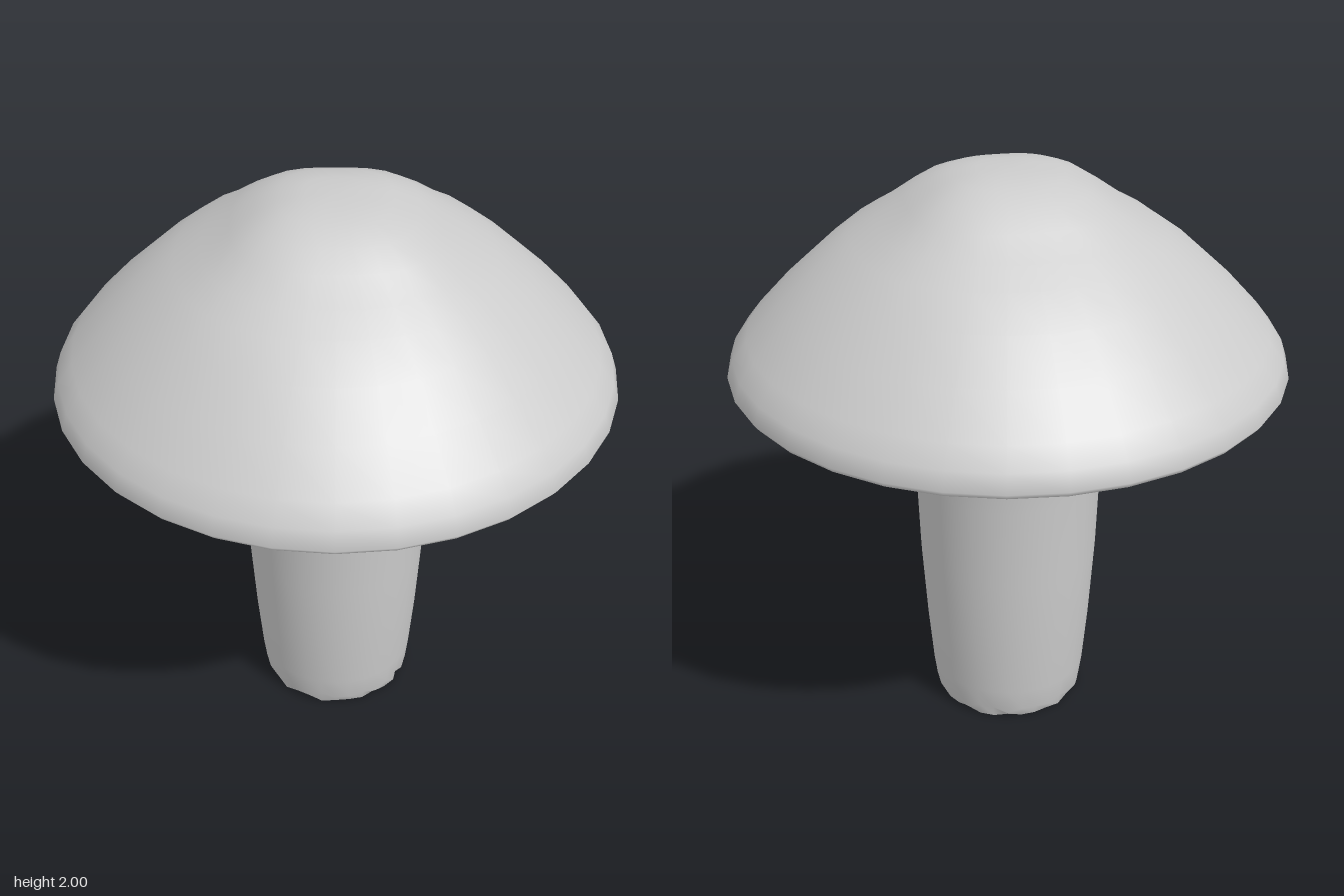
import * as THREE from 'three';
import { mergeVertices } from 'three/addons/utils/BufferGeometryUtils.js';

const SIDES = 32;
const material = new THREE.MeshStandardMaterial({ color: 0xcccccc, side: THREE.DoubleSide });

// Turned shape with seamless smooth normals; shape(v, angle) may adjust each vertex.
function turned(name, profile, shape) {
  const raw = new THREE.LatheGeometry(profile.map(([r, y]) => new THREE.Vector2(r, y)), SIDES);
  raw.deleteAttribute('normal');
  raw.deleteAttribute('uv');
  const pos = raw.attributes.position;
  const v = new THREE.Vector3();
  for (let i = 0; shape && i < pos.count; i++) {
    v.fromBufferAttribute(pos, i);
    shape(v, Math.atan2(v.x, v.z));
    pos.setXYZ(i, v.x, v.y, v.z);
  }
  const geometry = mergeVertices(raw, 1e-4);
  geometry.computeVertexNormals();
  const mesh = new THREE.Mesh(geometry, material);
  mesh.name = name;
  return mesh;
}

// Four faint lobes on the upper cap, strongest near the crown.
function lobes(v, angle) {
  const weight = THREE.MathUtils.smoothstep(v.y, 1.65, 1.95);
  const k = 1 - 0.05 * weight * (1 - Math.cos(4 * angle));
  v.x *= k;
  v.z *= k;
}

// Uneven broken edge around the foot.
function ragged(v, angle) {
  if (v.y > 0.06) return;
  const wave = Math.sin(11 * angle) + 0.5 * Math.sin(7 * angle + 1);
  if (v.y > 0.01) {
    v.y += 0.011 * wave;
  } else {
    const k = 1 + 0.025 * wave;
    v.x *= k;
    v.z *= k;
  }
}

export function createModel() {
  const model = new THREE.Group();
  model.name = 'mushroom';

  const foot = [0.255, 0];

  model.add(turned('cap', [
    [0.925, 1.32], [0.94, 1.34], [0.92, 1.4], [0.87, 1.465], [0.76, 1.585],
    [0.64, 1.7], [0.54, 1.785], [0.46, 1.835], [0.37, 1.9], [0.29, 1.95],
    [0.2, 1.985], [0.11, 1.998], [0, 2],
  ], lobes));

  // Hollow underside, from the stem flare out to the rim
  model.add(turned('capUnderside', [
    [0.51, 1.55], [0.56, 1.57], [0.62, 1.555], [0.72, 1.5], [0.83, 1.42], [0.89, 1.35], [0.925, 1.32],
  ]));

  model.add(turned('stem', [
    foot, [0.27, 0.035], [0.28, 0.12], [0.298, 0.33], [0.315, 0.6], [0.325, 0.9],
    [0.348, 1.18], [0.39, 1.32], [0.44, 1.44], [0.51, 1.55],
  ], ragged));

  model.add(turned('stemBase', [[0, 0], foot], ragged));

  return model;
}
